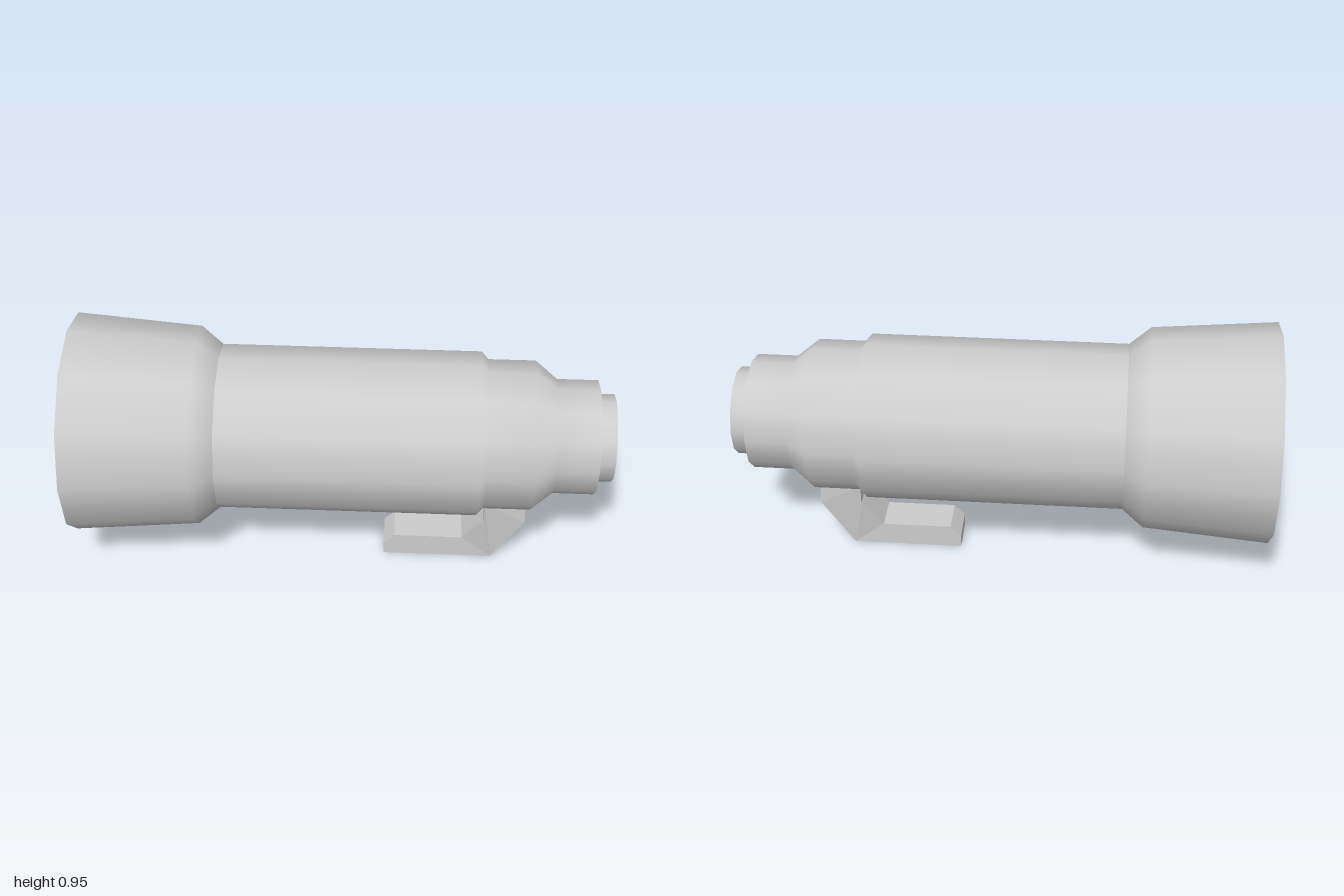
import * as THREE from 'three';

const AXIS_Y = 0.54;
const SIDES = 12;

export function createModel() {
  const group = new THREE.Group();
  const grey = new THREE.MeshStandardMaterial({ color: 0xcccccc });
  grey.name = 'light grey';

  // Turned section around the barrel axis; profile points are [x along barrel, radius]
  const turned = (name, profile) => {
    const points = profile.map(([x, r]) => new THREE.Vector2(r, x));
    const geometry = new THREE.LatheGeometry(points, SIDES);
    geometry.rotateZ(-Math.PI / 2);
    const mesh = new THREE.Mesh(geometry, grey);
    mesh.name = name;
    mesh.position.y = AXIS_Y;
    group.add(mesh);
  };

  // Wide hood, hollow at the open end
  turned('frontGlass', [[-0.67, 0], [-0.67, 0.36]]);
  turned('hoodInside', [[-0.67, 0.36], [-1, 0.375]]);
  turned('hoodRim', [[-1, 0.375], [-1, 0.41]]);
  turned('hood', [[-1, 0.41], [-0.535, 0.373], [-0.455, 0.308]]);

  // Barrel stepping down towards the mount
  turned('barrel', [
    [-0.455, 0.308], [0.505, 0.308], [0.53, 0.28], [0.705, 0.28], [0.785, 0.214], [0.938, 0.214],
  ]);
  turned('barrelEnd', [[0.938, 0.214], [0.938, 0.164]]);
  turned('mountRing', [[0.938, 0.164], [1, 0.164]]);
  turned('mountCap', [[1, 0.164], [1, 0]]);

  // Tripod foot: side outline extruded, then narrowed towards the sole
  const outline = [
    [0.54, 0.275], [0.54, 0.2], [0.46, 0.09], [0.2, 0.09], [0.16, 0.05],
    [0.16, 0], [0.575, 0], [0.695, 0.195], [0.695, 0.275],
  ].map(([x, y]) => new THREE.Vector2(x, y));
  const footGeometry = new THREE.ExtrudeGeometry(new THREE.Shape(outline), { depth: 2, bevelEnabled: false });
  footGeometry.translate(0, 0, -1);
  const pos = footGeometry.attributes.position;
  for (let i = 0; i < pos.count; i++) {
    pos.setZ(i, pos.getZ(i) * (pos.getY(i) > 0.1 ? 0.093 : 0.072));
  }
  footGeometry.computeVertexNormals();
  const foot = new THREE.Mesh(footGeometry, grey);
  foot.name = 'tripodFoot';
  group.add(foot);

  return group;
}
